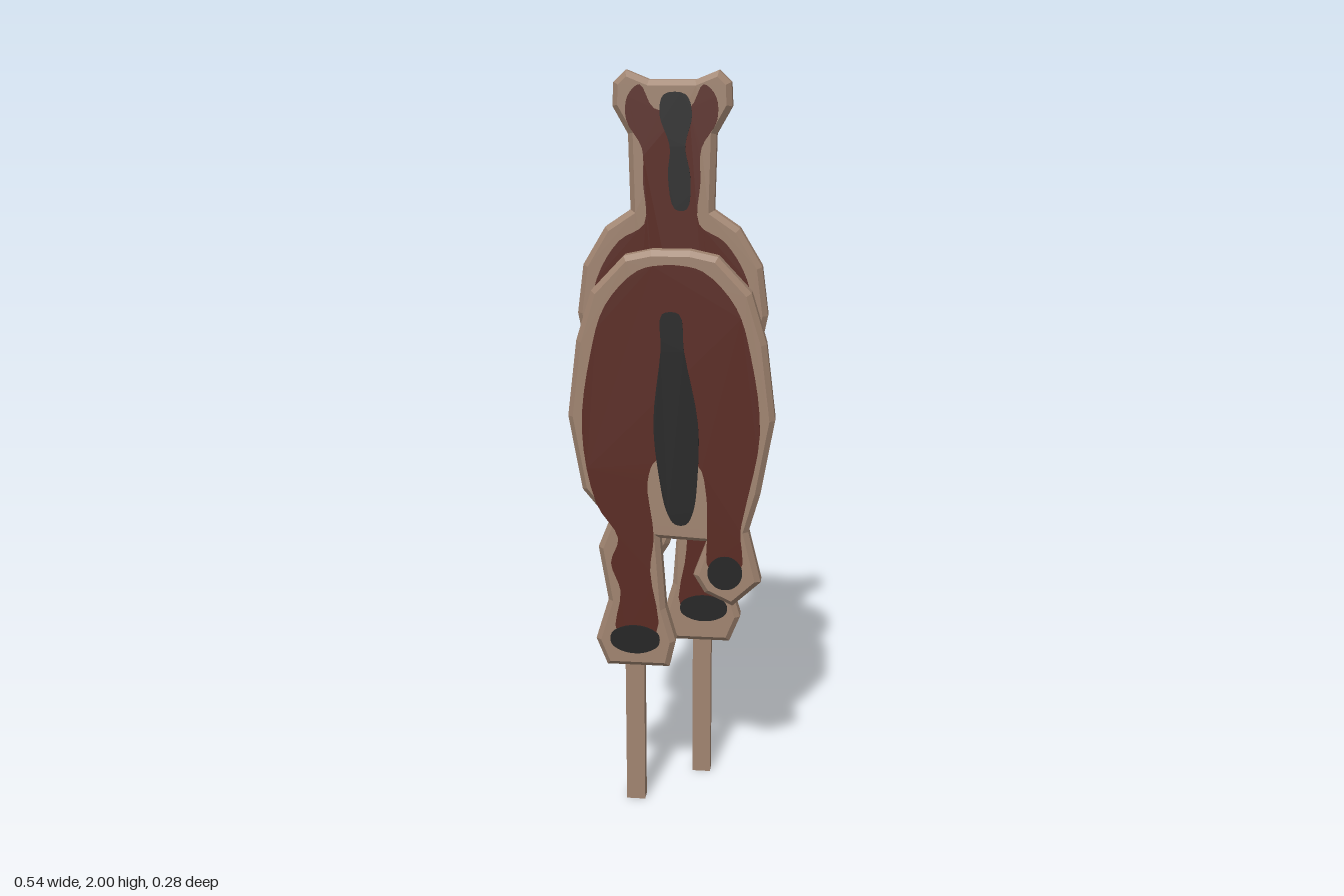
import * as THREE from 'three';

const wood = new THREE.MeshStandardMaterial({ color: 0xa08470 });
wood.name = 'bare wood';
const bay = new THREE.MeshStandardMaterial({ color: 0x5a2a22 });
bay.name = 'bay coat';
const black = new THREE.MeshStandardMaterial({ color: 0x262626 });
black.name = 'black hair and hoof';

const THICK = 0.05;

// Outlines are [x, y] points in hundredths of a unit.
// Both cutouts share the standing leg (outer to inner edge) and the lifted leg (inner to outer edge).
const standingLeg = [[-16.5, 84.5], [-19.5, 77], [-17, 62], [-20.5, 50.5], [-17.5, 43],
  [-0.5, 43], [1.2, 50.5], [-1.5, 60], [-3, 80]];
const liftedLeg = [[6, 70], [9, 65], [16.5, 61.5], [24, 68.5], [20.5, 82.5]];
const standingCoat = [[-14, 80], [-16, 73], [-13.5, 65], [-14.5, 53], [-4, 53], [-5.5, 71], [-4.5, 81]];
const liftedCoat = [[9.7, 82], [10.5, 72], [18.5, 72], [18.5, 83]];

// Half-width profiles, from the bottom up
const rump = [[23.5, 93], [27, 113], [24.5, 133], [20.5, 146], [12, 155], [5, 156.5]];
const bust = [[25.5, 137], [23.8, 150], [17.8, 160], [11, 164.6], [11.3, 175.5], [11.5, 184],
  [15.5, 191], [15.2, 197], [12, 200], [6, 197.6]];
const tailHalf = [[1.5, 84.5], [3.5, 88], [5, 97], [5.8, 112], [3, 131], [2.2, 140.5]];
const maneHalf = [[1.6, 165], [2.9, 173.5], [2, 181], [4.2, 189], [2.8, 194]];

// swap left and right
const flip = (list, shift, dy) => list.map(([x, y]) => [shift - x, y + dy]);
// narrow a profile to leave a bare rim
const inset = (list) => list.map(([w, y]) => [w - 3.8, y - 3.5]);
// up the right side and down the left, about an optionally slanted centre line
function bothSides(profile, centre = 0, slant = 0, pivot = 0) {
  const side = (s) => profile.map(([w, y]) => [centre + slant * (y - pivot) + s * w, y]);
  return [...side(1), ...side(-1).reverse()];
}

// sawn slab from z = 0 to depth, with only its +z edge chamfered
function slab(name, outline, depth, bevel) {
  const shape = new THREE.Shape(outline.map(([x, y]) => new THREE.Vector2(x / 100, y / 100)));
  const geo = new THREE.ExtrudeGeometry(shape, {
    depth: depth - bevel, bevelSegments: 1,
    bevelThickness: bevel, bevelSize: bevel, bevelOffset: -bevel,
  });
  const p = geo.attributes.position;
  for (let i = 0; i < p.count; i++) p.setZ(i, Math.max(0, p.getZ(i)));
  geo.computeVertexNormals();
  const mesh = new THREE.Mesh(geo, wood);
  mesh.name = name;
  return mesh;
}

// thin painted patch with a softly curved outline on the panel's face
function paint(name, outline, material, height) {
  const curve = new THREE.CatmullRomCurve3(
    outline.map(([x, y]) => new THREE.Vector3(x / 100, y / 100, 0)), true, 'centripetal');
  const edge = curve.getPoints(outline.length * 4).slice(0, -1).map((v) => new THREE.Vector2(v.x, v.y));
  const geo = new THREE.ExtrudeGeometry(new THREE.Shape(edge), { depth: height, bevelEnabled: false });
  const mesh = new THREE.Mesh(geo, material);
  mesh.name = name;
  mesh.position.z = THICK;
  return mesh;
}

const coat = (name, outline) => paint(name, outline, bay, 0.0015);
const hair = (name, outline) => paint(name, outline, black, 0.003);

// rounded hoof patch
function hoof(name, x, y, rx, ry) {
  const outline = [];
  for (let i = 0; i < 8; i++) {
    const a = (i + 0.5) * Math.PI / 4;
    outline.push([x + rx * 1.08 * Math.cos(a), y + ry * 1.08 * Math.sin(a)]);
  }
  return hair(name, outline);
}

// square stake fixed to the back of a panel
function stake(x) {
  const mesh = slab('stake', bothSides([[2.6, 0], [2.6, 89]]), 0.041, 0.006);
  mesh.rotation.y = Math.PI;
  mesh.position.x = x;
  return mesh;
}

// panel, paint and stake, leaning very slightly forward
function cutout(name, z, parts) {
  const g = new THREE.Group();
  g.name = name;
  g.add(...parts);
  g.position.z = z;
  g.rotation.x = 0.004;
  return g;
}

export function createModel() {
  const model = new THREE.Group();
  model.name = 'horseCutouts';

  // front cutout: hindquarters, left leg lifted
  const crotch = [9.5, 79.5];
  const bareThigh = [[-6, 96], [-3.5, 102], [7, 101], [9.5, 92]];
  model.add(cutout('hindquarters', 0.081, [
    slab('hindPanel', [...standingLeg, crotch, ...liftedLeg, ...bothSides(rump)], THICK, 0.014),
    coat('hindCoat', [...standingCoat, ...bareThigh, ...liftedCoat, ...bothSides(inset(rump))]),
    hair('tail', bothSides(tailHalf, 1.4, -0.045, 112)),
    hoof('rightHindHoof', -9.7, 51.2, 6.4, 3.8),
    hoof('leftHindHoof', 14.5, 71.2, 4.3, 4.4),
    stake(-0.105),
  ]));

  // rear cutout: head and shoulders, right leg lifted
  const coatBust = [...inset(bust).slice(0, -1), [4.5, 190.5]];
  model.add(cutout('forequarters', -0.099, [
    slab('forePanel', [...flip(standingLeg, -3, 0.5), ...flip(liftedLeg, 3.5, 2),
      ...bothSides(bust, -1.6).reverse()], THICK, 0.014),
    coat('foreCoat', [...flip(standingCoat, -3, 0.5), ...flip(liftedCoat, 3.5, 2),
      ...bothSides(coatBust, -1.6).reverse()]),
    hair('mane', bothSides(maneHalf, 0, -0.055, 180)),
    hoof('leftForeHoof', 7.3, 53.7, 6.3, 3.6),
    hoof('rightForeHoof', -11.5, 73, 4.3, 4.4),
    stake(0.064),
  ]));

  return model;
}
